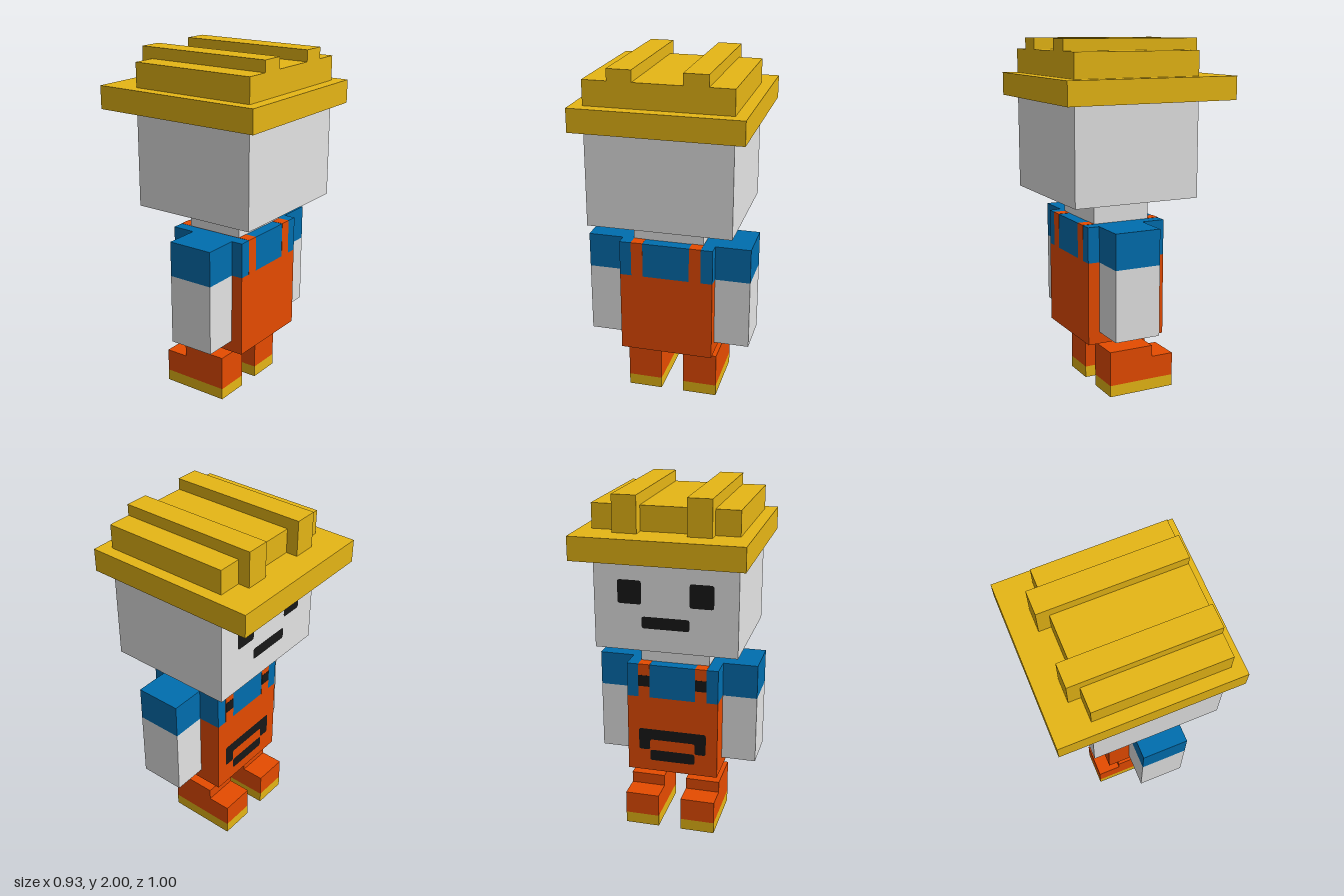
import * as THREE from 'three';

const U = 1 / 15; // size of one block

function material(name, color) {
  const m = new THREE.MeshStandardMaterial({ color });
  m.name = name;
  return m;
}

export function createModel() {
  const yellow = material('helmet yellow', 0xe6b615);
  const orange = material('overall orange', 0xe64b00);
  const blue = material('shirt blue', 0x006eaf);
  const grey = material('skin grey', 0xe4e4e4);
  const black = material('detail black', 0x181818);

  const model = new THREE.Group();
  model.name = 'builderFigure';

  // Box given by its limits, in blocks
  function block(parent, name, mat, [x0, x1], [y0, y1], [z0, z1]) {
    const mesh = new THREE.Mesh(
      new THREE.BoxGeometry((x1 - x0) * U, (y1 - y0) * U, (z1 - z0) * U), mat);
    mesh.position.set((x0 + x1) / 2 * U, (y0 + y1) / 2 * U, (z0 + z1) / 2 * U);
    mesh.name = name;
    parent.add(mesh);
  }

  // Flat painted detail facing -z: an outline in blocks with softened corners
  function decal(parent, name, mat, points, z, r = 0.22) {
    const pts = points.map(([x, y]) => new THREE.Vector2(x * U, y * U));
    const shape = new THREE.Shape();
    pts.forEach((p, i) => {
      const prev = pts[(i + pts.length - 1) % pts.length];
      const next = pts[(i + 1) % pts.length];
      const a = p.clone().add(prev.clone().sub(p).setLength(r * U));
      const b = p.clone().add(next.clone().sub(p).setLength(r * U));
      if (i === 0) shape.moveTo(a.x, a.y);
      else shape.lineTo(a.x, a.y);
      shape.quadraticCurveTo(p.x, p.y, b.x, b.y);
    });
    shape.closePath();
    const mesh = new THREE.Mesh(new THREE.ShapeGeometry(shape, 3), mat);
    mesh.rotation.y = Math.PI;
    mesh.position.z = z * U - 0.002;
    mesh.name = name;
    parent.add(mesh);
  }
  const rect = (x0, x1, y0, y1) => [[x0, y0], [x1, y0], [x1, y1], [x0, y1]];

  function group(name) {
    const g = new THREE.Group();
    g.name = name;
    model.add(g);
    return g;
  }

  // Head and neck
  const head = group('head');
  block(head, 'skull', grey, [-6, 6], [17.05, 25.05], [-4.5, 6.5]);
  block(head, 'neck', grey, [-3, 3], [15, 17.05], [-1.5, 3.5]);
  for (const x of [-3, 3]) {
    decal(head, 'eye', black, rect(x - 1, x + 1, 21, 23), -4.5);
  }
  decal(head, 'mouth', black, rect(-2, 2, 19, 20), -4.5);

  // Helmet
  const helmet = group('helmet');
  block(helmet, 'brim', yellow, [-7, 7], [25.05, 27], [-7.5, 7.5]);
  block(helmet, 'crown', yellow, [-6, 6], [27, 29.05], [-4.5, 6.5]);
  for (const x of [-4, 2]) {
    block(helmet, 'ridge', yellow, [x, x + 2], [27, 30], [-5.5, 6.5]);
  }

  // Torso: shirt above, overalls below
  const torso = group('torso');
  block(torso, 'overalls', orange, [-4, 4], [5, 12], [-2.5, 4.5]);
  block(torso, 'shirt', blue, [-4, 4], [12, 15], [-2.5, 4.5]);
  const t = 0.02;
  for (const x of [-3, 2]) {
    // Strap runs up the front, over the shoulder and down the back
    block(torso, 'strap', orange, [x, x + 1], [12, 15 + t], [-2.5 - t, 4.5 + t]);
    block(torso, 'buckle', black, [x, x + 1], [13, 14], [-2.5 - 2 * t, -2.5]);
  }

  // Pocket outline on the chest
  decal(torso, 'pocketTop', black,
    [[-3, 7], [-2, 7], [-2, 8], [2, 8], [2, 7], [3, 7], [3, 9], [-3, 9]], -2.5);
  decal(torso, 'pocketBottom', black, rect(-2, 2, 6, 7), -2.5);

  // Arms and legs, one pair per side
  for (const s of [-1, 1]) {
    const side = s > 0 ? 'left' : 'right';
    const span = (a, b) => (s > 0 ? [a, b] : [-b, -a]);

    const arm = group(side + 'Arm');
    block(arm, 'sleeve', blue, span(4, 7), [12, 15], [-0.5, 3.5]);
    block(arm, 'forearm', grey, span(4, 7), [6, 12], [-0.5, 3.5]);

    const leg = group(side + 'Leg');
    block(leg, 'sole', yellow, span(1, 4), [0, 1], [-3.5, 2.5]);
    block(leg, 'shin', orange, span(1, 4), [1, 4], [-1.5, 2.5]);
    block(leg, 'toe', orange, span(1, 4), [1, 3], [-3.5, -1.5]);
  }

  return model;
}
